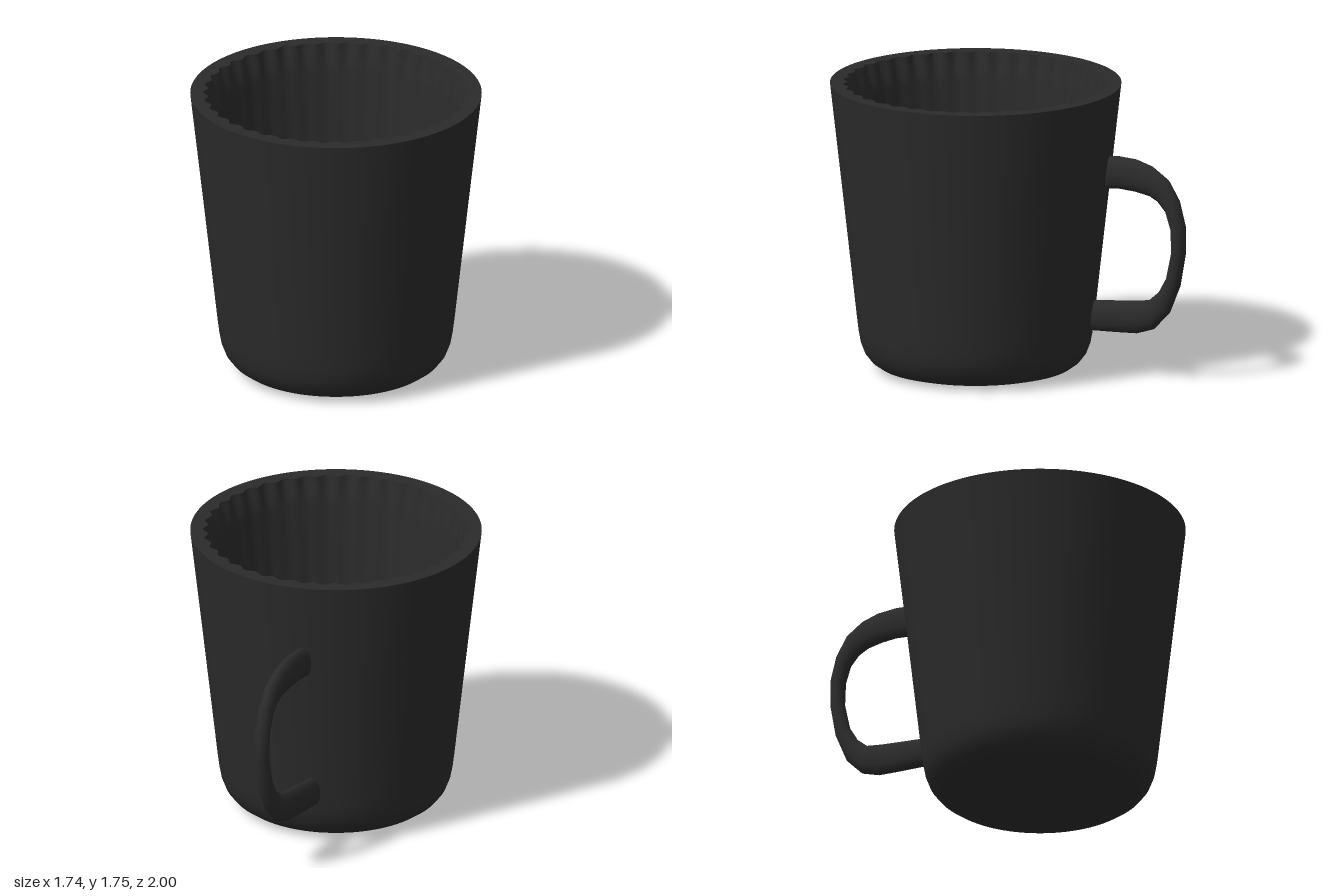
import * as THREE from 'three';
import { mergeVertices } from 'three/addons/utils/BufferGeometryUtils.js';

const FLUTES = 38;
const HEIGHT = 1.755;

// Lathe whose profile points are [radius, y, flute depth]
function flutedLathe(profile) {
  const rows = profile.length;
  const geo = new THREE.LatheGeometry(profile.map(([r, y]) => new THREE.Vector2(r, y)), FLUTES * 6);
  const pos = geo.attributes.position;
  for (let i = 0; i < pos.count; i++) {
    const [r, y, depth = 0] = profile[i % rows];
    const phi = Math.floor(i / rows) / (FLUTES * 6) * Math.PI * 2;
    const wave = depth * Math.cos(phi * FLUTES);
    // walls ripple outward, the floor ripples up and down
    const onFloor = y < 0.2;
    const radius = onFloor ? r : r + wave;
    pos.setXYZ(i, radius * Math.sin(phi), onFloor ? y - wave : y, radius * Math.cos(phi));
  }
  geo.deleteAttribute('uv');
  geo.deleteAttribute('normal');
  const merged = mergeVertices(geo, 1e-5);
  merged.computeVertexNormals();
  return merged;
}

// Loft of oval sections, each given by its outer and inner edge [z, y]
function handleGeometry(sections, halfWidth, sides) {
  const positions = [], index = [];
  sections.forEach(([oz, oy, iz, iy], k) => {
    for (let j = 0; j < sides; j++) {
      const a = j / sides * Math.PI * 2;
      const c = Math.cos(a) / 2, w = Math.sin(a) * halfWidth;
      const z = (oz + iz) / 2 + (oz - iz) * c;
      const y = (oy + iy) / 2 + (oy - iy) * c;
      // the handle plane is turned away from the z axis
      positions.push(-0.70 + 0.41 * (z + 0.96) + 0.925 * w, y, z - 0.38 * w);
      if (k < sections.length - 1) {
        const p = k * sides + j, q = k * sides + (j + 1) % sides;
        index.push(p, q, p + sides, q, q + sides, p + sides);
      }
    }
  });
  const geo = new THREE.BufferGeometry();
  geo.setAttribute('position', new THREE.Float32BufferAttribute(positions, 3));
  geo.setIndex(index);
  geo.computeVertexNormals();
  return geo;
}

export function createModel() {
  const model = new THREE.Group();
  model.name = 'mug';
  const charcoal = new THREE.MeshStandardMaterial({ color: 0x2b2b2b, side: THREE.DoubleSide });
  charcoal.name = 'charcoal';

  const add = (parent, name, geometry) => {
    const mesh = new THREE.Mesh(geometry, charcoal);
    mesh.name = name;
    parent.add(mesh);
  };

  // Cup, set forward to leave room for the handle
  const cup = new THREE.Group();
  cup.name = 'cup';
  cup.position.z = 0.128;
  model.add(cup);

  add(cup, 'outerWall', flutedLathe([
    [0, 0], [0.42, 0], [0.52, 0.01], [0.585, 0.028], [0.63, 0.06],
    [0.665, 0.105], [0.688, 0.165], [0.7, 0.23], [0.71, 0.31], [0.79, 1.03], [0.872, HEIGHT],
  ]));
  add(cup, 'rim', flutedLathe([[0.872, HEIGHT], [0.782, HEIGHT, 0.014]]));
  add(cup, 'innerWall', flutedLathe([
    [0.782, HEIGHT, 0.014], [0.772, 1.7, 0.014], [0.755, 1.64, 0.008], [0.745, 1.58, 0.002],
    [0.69, 1.1, 0.002], [0.635, 0.6, 0.004], [0.61, 0.4, 0.01], [0.59, 0.3, 0.012], [0.56, 0.22, 0.012],
    [0.51, 0.165, 0.012], [0.43, 0.135, 0.01], [0.25, 0.125, 0.006], [0.1, 0.12, 0.002], [0, 0.12],
  ]));

  // Handle, thick where it meets the wall and slim in the middle
  add(model, 'handle', handleGeometry([
    [-0.45, 1.34, -0.45, 1.14], [-0.58, 1.355, -0.58, 1.155], [-0.69, 1.35, -0.68, 1.15],
    [-0.79, 1.32, -0.77, 1.135], [-0.89, 1.25, -0.83, 1.105], [-0.96, 1.13, -0.88, 1.05],
    [-1.0, 0.97, -0.912, 0.95], [-1.0, 0.81, -0.918, 0.81], [-0.965, 0.6, -0.885, 0.65],
    [-0.9, 0.43, -0.83, 0.55], [-0.8, 0.32, -0.77, 0.495], [-0.69, 0.28, -0.68, 0.48],
    [-0.55, 0.27, -0.55, 0.465], [-0.37, 0.26, -0.37, 0.445],
  ], 0.045, 12));

  return model;
}
